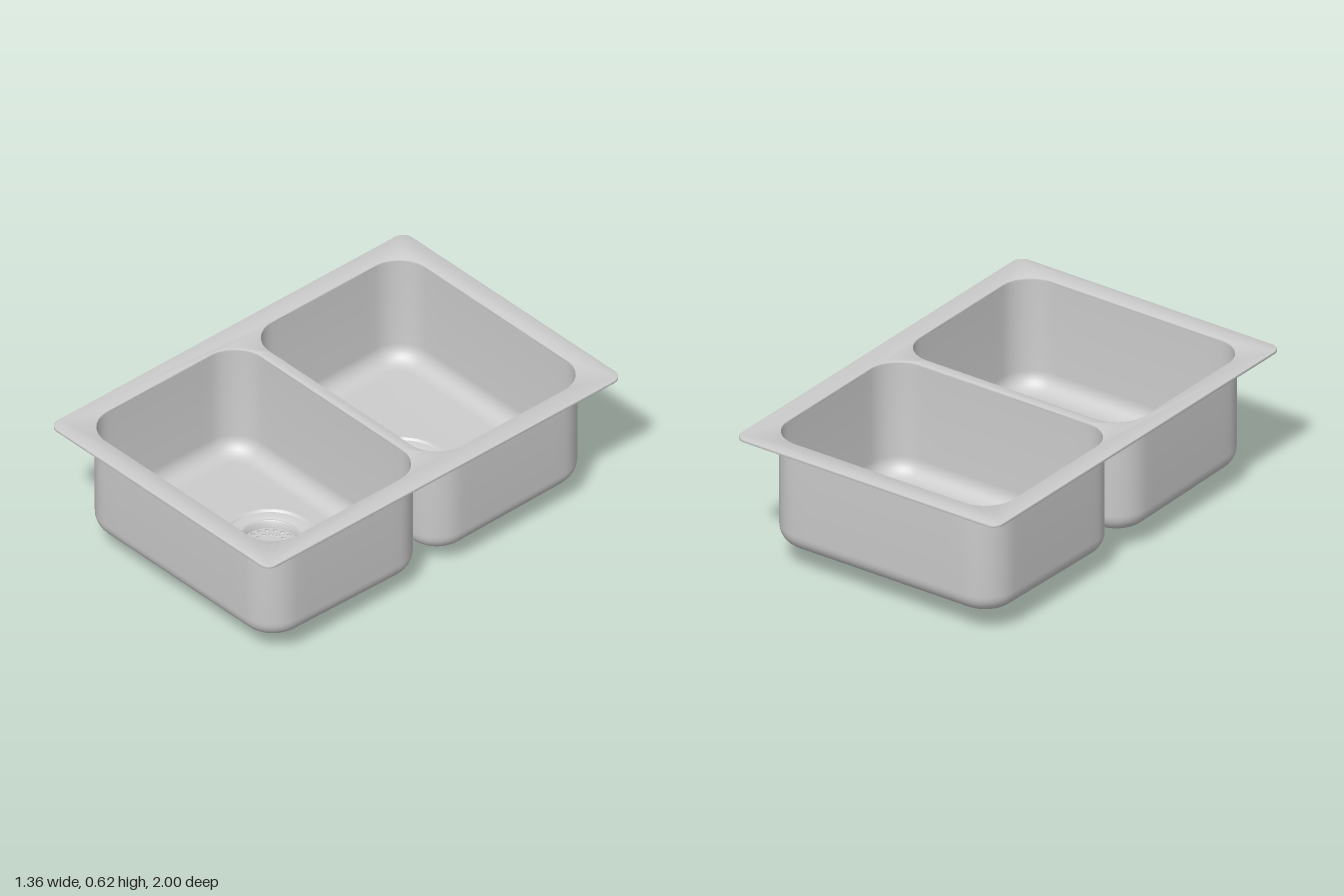
import * as THREE from 'three';
import { toCreasedNormals } from 'three/addons/utils/BufferGeometryUtils.js';

const steel = new THREE.MeshStandardMaterial({ color: 0xcccccc, side: THREE.DoubleSide });

const BOWL_Z = 0.463, DRAIN_Z = 0.372;          // bowl and drain centres
const HALF_X = 0.592, HALF_Z = 0.445;           // outer half sizes of a bowl
const CORNER = 0.155, FILLET = 0.09, WALL = 0.008;
const RIM_Y = 0.611, RIM_T = 0.014, FLOOR_Y = 0.097;

function addMesh(parent, name, geometry) {
  const mesh = new THREE.Mesh(geometry, steel);
  mesh.name = name;
  parent.add(mesh);
  return mesh;
}

function roundedRect(path, cx, cy, hx, hy, r) {
  const P = Math.PI;
  path.absarc(cx + hx - r, cy + hy - r, r, 0, P / 2);
  path.absarc(cx - hx + r, cy + hy - r, r, P / 2, P);
  path.absarc(cx - hx + r, cy - hy + r, r, P, 1.5 * P);
  path.absarc(cx + hx - r, cy - hy + r, r, 1.5 * P, 2 * P);
  path.closePath();
  return path;
}

function circleHole(x, y, r) {
  return new THREE.Path().absarc(x, y, r, 0, Math.PI * 2, true);
}

// Rounded-rectangle loop in the xz plane, with subdivided straight edges
function ring(inset, y) {
  const hx = HALF_X - inset, hz = HALF_Z - inset, r = CORNER - inset;
  const corners = [[1, 1], [1, -1], [-1, -1], [-1, 1]];
  const arcs = corners.map(([sx, sz], k) => Array.from({ length: 11 }, (_, i) => {
    const a = (k + i / 10) * Math.PI / 2;
    return new THREE.Vector3(sx * (hx - r) + r * Math.sin(a), y, sz * (hz - r) + r * Math.cos(a));
  }));
  const pts = [];
  arcs.forEach((arc, k) => {
    pts.push(...arc);
    const next = arcs[(k + 1) % 4][0];
    for (let i = 1; i < 10; i++) pts.push(arc[10].clone().lerp(next, i / 10));
  });
  return pts;
}

// The floor rises slightly towards the outer end of the bowl
function sloped(points) {
  points.forEach(p => { p.y += 0.008 * (p.z / HALF_Z) * (RIM_Y - p.y) / (RIM_Y - FLOOR_Y); });
  return points;
}

// Floor opening: each floor point is drawn radially onto the drain circle
function drainRing(points, radius, y) {
  const c = new THREE.Vector3(0, y, DRAIN_Z - BOWL_Z);
  return points.map(p => new THREE.Vector3(p.x, y, p.z).sub(c).setLength(radius).add(c));
}

function loft(rings) {
  const n = rings[0].length, index = [];
  for (let j = 0; j < rings.length - 1; j++) {
    for (let i = 0; i < n; i++) {
      const k = (i + 1) % n, a = j * n, b = a + n;
      index.push(a + i, a + k, b + i, a + k, b + k, b + i);
    }
  }
  const g = new THREE.BufferGeometry().setFromPoints(rings.flat());
  g.setIndex(index);
  return toCreasedNormals(g, 0.6);
}

// Bowl skin from the drain opening up through the fillet to the rim
function bowlSide(offset, floorY, topY) {
  const r = FILLET - offset, rings = [];
  for (let i = 0; i <= 8; i++) {
    const a = (i / 8) * Math.PI / 2;
    rings.push(sloped(ring(offset + r * (1 - Math.sin(a)), floorY + r * (1 - Math.cos(a)))));
  }
  rings.unshift(drainRing(rings[0], 0.195, floorY - 0.003));
  rings.push(ring(offset, topY));
  return rings;
}

// Flat perforated disc lying on y
function disc(radius, y, thickness, holes) {
  const shape = new THREE.Shape().absarc(0, 0, radius, 0, Math.PI * 2);
  shape.holes.push(...holes);
  const g = new THREE.ExtrudeGeometry(shape, { depth: thickness, bevelEnabled: false, curveSegments: 24 });
  return g.rotateX(-Math.PI / 2).translate(0, y, 0);
}

function holeCircle(count, radius, size) {
  return Array.from({ length: count }, (_, i) => {
    const a = (i / count) * Math.PI * 2;
    return circleHole(radius * Math.cos(a), radius * Math.sin(a), size);
  });
}

function lathe(points) {
  const g = new THREE.LatheGeometry(points.map(p => new THREE.Vector2(...p)), 64);
  return toCreasedNormals(g, 0.6);
}

function createDrain() {
  const drain = new THREE.Group();
  drain.name = 'drain';

  // Cup wall with rounded base and a flange seated in the floor
  const arc = (cx, cy, r) => Array.from({ length: 9 }, (_, i) => {
    const a = (i / 8) * Math.PI / 2;
    return [cx + r * Math.sin(a), cy - r * Math.cos(a)];
  });
  addMesh(drain, 'drainCup', lathe([
    [0.098, 0.008], [0.098, 0], ...arc(0.098, 0.05, 0.05),
    [0.148, 0.078], [0.182, 0.079], [0.194, 0.086], [0.198, 0.096],
    [0.198, 0.103], [0.19, 0.102], [0.182, 0.094], [0.152, 0.09], [0.142, 0.084],
    ...arc(0.098, 0.05, 0.042).reverse(),
  ]));
  addMesh(drain, 'drainOutlet', disc(0.1, 0, 0.008, holeCircle(6, 0.06, 0.025)));

  // Basket strainer sitting in the cup
  addMesh(drain, 'strainerRim', lathe([
    [0.122, 0.05], [0.13, 0.055], [0.134, 0.084], [0.138, 0.09],
    [0.132, 0.09], [0.127, 0.084], [0.122, 0.057],
  ]));
  addMesh(drain, 'strainerPlate', disc(0.125, 0.05, 0.006,
    [...holeCircle(20, 0.107, 0.009), ...holeCircle(16, 0.077, 0.008)]));
  const knob = addMesh(drain, 'strainerKnob', new THREE.CylinderGeometry(0.023, 0.025, 0.016, 32));
  knob.position.y = 0.064;
  return drain;
}

function createBasin() {
  const basin = new THREE.Group();
  basin.name = 'basin';
  const outer = bowlSide(0, FLOOR_Y, RIM_Y + 0.004);
  const inner = bowlSide(WALL, FLOOR_Y + WALL, RIM_Y + 0.008).reverse();
  addMesh(basin, 'bowl', loft([...outer, ...inner])).position.z = BOWL_Z;
  const drain = createDrain();
  drain.position.z = DRAIN_Z;
  basin.add(drain);
  return basin;
}

export function createModel() {
  const sink = new THREE.Group();
  sink.name = 'doubleSink';

  // Flat rim with an opening for each bowl
  const shape = roundedRect(new THREE.Shape(), 0, 0, 0.68, 1, 0.05);
  for (const s of [1, -1]) {
    shape.holes.push(roundedRect(new THREE.Path(), 0, s * BOWL_Z,
      HALF_X - WALL, HALF_Z - WALL, CORNER - WALL));
  }
  const bevel = 0.004;
  const rim = new THREE.ExtrudeGeometry(shape, {
    depth: RIM_T - 2 * bevel, curveSegments: 10,
    bevelThickness: bevel, bevelSize: bevel, bevelOffset: -bevel, bevelSegments: 2,
  });
  rim.rotateX(-Math.PI / 2).translate(0, RIM_Y + bevel, 0);
  addMesh(sink, 'rim', toCreasedNormals(rim, 0.5));

  // Two matching basins, front and back
  for (const turn of [0, Math.PI]) {
    const basin = createBasin();
    basin.rotation.y = turn;
    sink.add(basin);
  }
  return sink;
}
